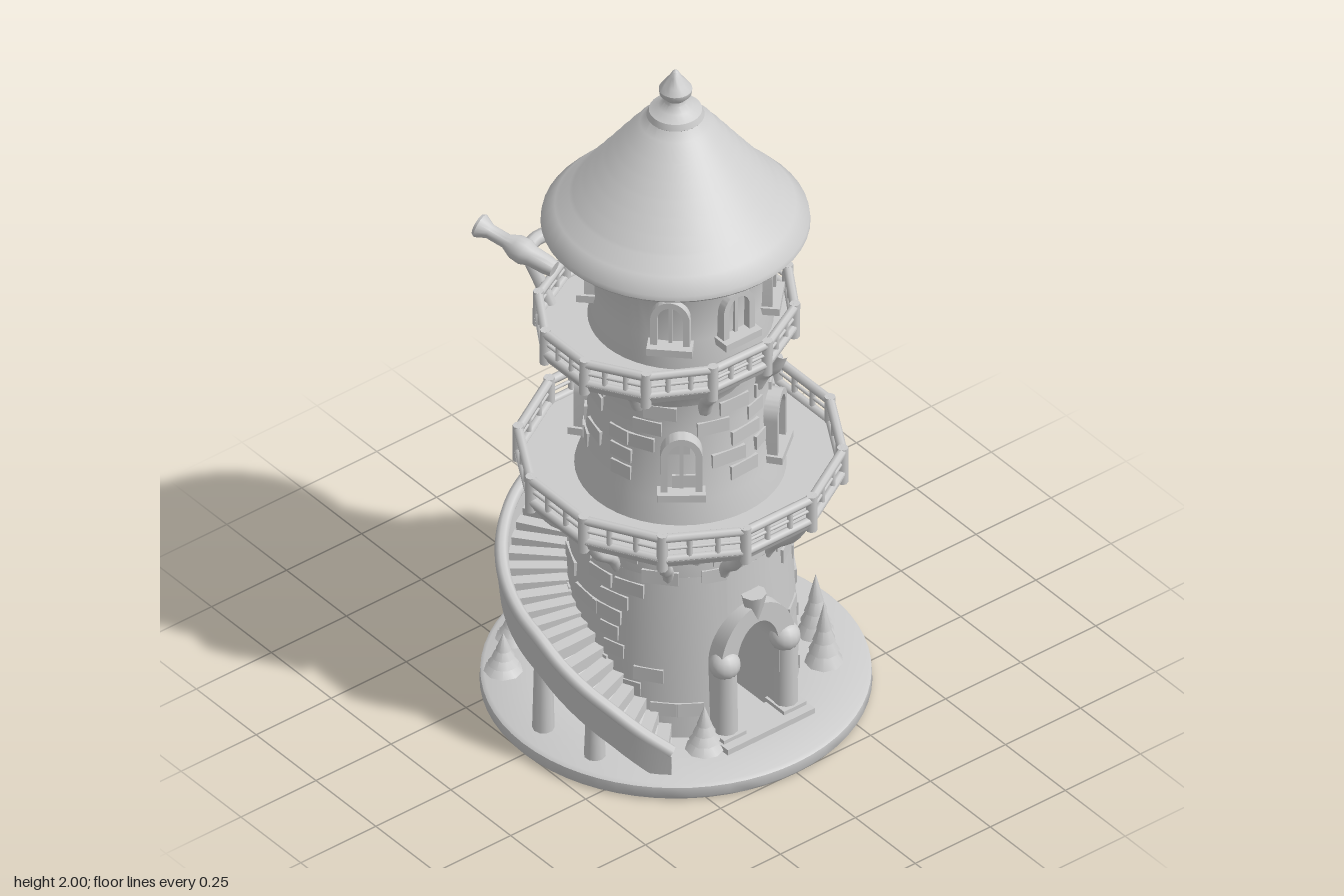
import * as THREE from 'three';
import { toCreasedNormals } from 'three/addons/utils/BufferGeometryUtils.js';

const mat = new THREE.MeshStandardMaterial({ color: 0xcccccc });
const matBoth = new THREE.MeshStandardMaterial({ color: 0xcccccc, side: THREE.DoubleSide });
const V = (x, y, z) => new THREE.Vector3(x, y, z);

function add(parent, name, geo, material = mat) {
  const m = new THREE.Mesh(geo, material);
  m.name = name;
  parent.add(m);
  return m;
}
function group(parent, name) {
  const g = new THREE.Group();
  g.name = name;
  parent.add(g);
  return g;
}
// Put an object on a circle, turned outward; angle 0 is the front (+z)
function place(o, a, r, y) {
  o.position.set(r * Math.sin(a), y, r * Math.cos(a));
  o.rotation.y = a;
  return o;
}
const lathe = (pts, seg = 48, start = 0, len = Math.PI * 2) =>
  toCreasedNormals(new THREE.LatheGeometry(pts.map(p => new THREE.Vector2(...p)), seg, start, len), 0.7);
const tube = (pts, r, seg = 8) => new THREE.TubeGeometry(new THREE.CatmullRomCurve3(pts), seg, r, 8);
function lerpTable(t, k) {
  for (let i = 1; i < t.length; i++)
    if (k <= t[i][0]) return THREE.MathUtils.mapLinear(Math.max(k, t[0][0]), t[i - 1][0], t[i][0], t[i - 1][1], t[i][1]);
  return t[t.length - 1][1];
}
let seed = 7;
const rand = () => (seed = (seed * 16807) % 2147483647) / 2147483647;

// Bent bar between two points
function bar(parent, name, a, b, r) {
  const m = add(parent, name, new THREE.CylinderGeometry(r, r, a.distanceTo(b) + r, 8));
  m.position.copy(a).lerp(b, 0.5);
  m.quaternion.setFromUnitVectors(V(0, 1, 0), b.clone().sub(a).normalize());
}
// Arched surround, open at the bottom
function archFrame(w, inner, spring, rise, depth) {
  const t = w - inner, s = new THREE.Shape();
  s.moveTo(-w, 0);
  s.lineTo(-inner, 0);
  s.lineTo(-inner, spring);
  s.absellipse(0, spring, inner, rise, Math.PI, 0, true);
  s.lineTo(inner, 0);
  s.lineTo(w, 0);
  s.lineTo(w, spring);
  s.absellipse(0, spring, w, rise + t, 0, Math.PI, false);
  const g = new THREE.ExtrudeGeometry(s, { depth, bevelEnabled: false, curveSegments: 14 });
  return toCreasedNormals(g, 0.6);
}

// Tower wall: height, radius
const WALL = [[.04, .31], [.3, .3], [.55, .287], [.69, .285], [.78, .256], [1, .236], [1.09, .234], [1.17, .25], [1.28, .225], [1.42, .23], [1.52, .265]];
const DOOR = { a: .245, spring: .27, rise: .11, top: .55 };

function buildWall(tower) {
  const profile = WALL.map(([y, r]) => [r, y]);
  // Lower wall is split in two to leave the passage open
  for (const side of [0, Math.PI])
    add(tower, 'lowerWall', lathe(profile.slice(0, 3), 24, side + DOOR.a, Math.PI - 2 * DOOR.a), matBoth);
  add(tower, 'upperWall', lathe(profile.slice(2)), matBoth);
  for (const turn of [0, Math.PI]) {
    // Wall above each door
    const g = new THREE.PlaneGeometry(1, 1, 20, 6), p = g.attributes.position;
    for (let i = 0; i < p.count; i++) {
      const s = Math.sin(p.getX(i) * Math.PI), low = DOOR.spring + DOOR.rise * Math.sqrt(Math.max(0, 1 - s * s));
      const y = THREE.MathUtils.lerp(low, DOOR.top, p.getY(i) + .5), r = lerpTable(WALL, y);
      p.setXYZ(i, r * Math.sin(s * DOOR.a), y, r * Math.cos(s * DOOR.a));
    }
    g.computeVertexNormals();
    add(tower, 'doorLintel', g, matBoth).rotation.y = turn;
    // Door surround with columns, capitals and keystone
    const door = group(tower, 'doorway');
    door.rotation.y = turn;
    add(door, 'doorArch', archFrame(.125, .07, DOOR.spring - .04, DOOR.rise, .08)).position.set(0, .04, .245);
    for (const x of [-.1, .1]) {
      add(door, 'doorColumn', new THREE.CylinderGeometry(.03, .034, .24, 10)).position.set(x, .16, .315);
      add(door, 'doorCapital', new THREE.SphereGeometry(.042, 14, 10)).position.set(x, .28, .31);
      add(door, 'columnFoot', new THREE.BoxGeometry(.075, .035, .08)).position.set(x, .055, .315);
    }
    add(door, 'keystone', new THREE.CylinderGeometry(.035, .02, .08, 8)).position.set(0, .425, .305);
    add(door, 'doorStep', new THREE.BoxGeometry(.29, .022, .1)).position.set(0, .05, .33);
  }
  add(tower, 'passage', archFrame(.078, .07, DOOR.spring - .04, DOOR.rise, .56)).position.set(0, .04, -.28);
  // Raised stones
  const stones = group(tower, 'stones');
  for (const [y0, y1] of [[.08, .62], [.84, 1.08]])
    for (let y = y0; y < y1; y += .052)
      for (let k = 0; k < 9; k++) {
        const a = (k + rand()) * Math.PI * 2 / 9, w = .06 + .04 * rand();
        if (y < .5 && Math.abs(Math.sin(a)) < .55) continue;
        const b = add(stones, 'stone', new THREE.BoxGeometry(w, .042, .014));
        place(b, a, lerpTable(WALL, y) - .004, y);
      }
}

function addWindow(tower, deg, y, w, spring, depth) {
  const a = deg * Math.PI / 180, r = lerpTable(WALL, y + .06);
  const win = place(group(tower, 'window'), a, r, y);
  add(win, 'windowFrame', archFrame(w, w - .018, spring, w - .01, depth)).position.z = -.025;
  add(win, 'windowSill', new THREE.BoxGeometry(w * 2.3, .022, .06)).position.z = .01;
  add(win, 'windowBar', new THREE.BoxGeometry(.01, spring + w * .7, .012)).position.set(0, (spring + w * .7) / 2, .002);
}

// Twelve-sided balcony with railing
function balcony(parent, name, R, y, h, thick) {
  const g = group(parent, name), n = 12;
  const deck = add(g, 'deck', toCreasedNormals(new THREE.CylinderGeometry(R, R - .012, thick, n), .3));
  deck.position.y = y + thick / 2;
  deck.rotation.y = Math.PI / n;
  const pt = (i, yy) => V((R - .012) * Math.sin((i + .5) * Math.PI * 2 / n), yy, (R - .012) * Math.cos((i + .5) * Math.PI * 2 / n));
  for (let i = 0; i < n; i++) {
    const top = y + h - .012, low = y + thick;
    bar(g, 'topRail', pt(i, top), pt(i + 1, top), .013);
    bar(g, 'lowerRail', pt(i, low), pt(i + 1, low), .012);
    bar(g, 'midRail', pt(i, (top + low) / 2), pt(i + 1, (top + low) / 2), .005);
    bar(g, 'railPost', pt(i, y), pt(i, top + .005), .015);
    for (const t of [.33, .67])
      bar(g, 'baluster', pt(i, low).lerp(pt(i + 1, low), t), pt(i, top).lerp(pt(i + 1, top), t), .008);
  }
  return g;
}

// Ring of curved brackets; points are [radius, height]
function brackets(parent, name, n, pts, r, offset = 0) {
  for (let i = 0; i < n; i++)
    add(parent, name, tube(pts.map(p => V(0, p[1], p[0])), r)).rotation.y = (i + offset) * Math.PI * 2 / n;
}

// Stair winding from the front, round the right side, to the back
const RISE = [[40, .04], [60, .15], [90, .28], [121, .34], [150, .4], [180, .44], [216, .45]];
function buildStair(root) {
  const stair = group(root, 'stair'), pos = [], idx = [], n = 44;
  const section = [[.435, 0], [.26, 0], [.26, -.11], [.46, -.035], [.47, .07], [.44, .075]], m = section.length;
  for (let i = 0; i <= n; i++) {
    const deg = 40 + 176 * i / n, t = deg * Math.PI / 180, h = lerpTable(RISE, deg);
    const narrow = deg > 185 ? (deg - 185) / 31 * .12 : 0;
    for (const [r, y] of section) {
      const rr = r - narrow * (r - .26) / .2;
      pos.push(-rr * Math.sin(t), Math.max(.03, h + y), rr * Math.cos(t));
    }
    if (i < n) for (let j = 0; j < m; j++) {
      const a = i * m + j, b = i * m + (j + 1) % m;
      idx.push(a, b, a + m, b, b + m, a + m);
    }
  }
  for (let j = 1; j < m - 1; j++) idx.push(0, j + 1, j, n * m, n * m + j, n * m + j + 1);
  const g = new THREE.BufferGeometry();
  g.setAttribute('position', new THREE.Float32BufferAttribute(pos, 3));
  g.setIndex(idx);
  add(stair, 'stairRamp', toCreasedNormals(g, .6));
  for (let deg = 44; deg < 200; deg += 6.5) {
    const depth = deg > 180 ? .12 : .17;
    const tread = add(stair, 'tread', new THREE.BoxGeometry(.034, .035, depth));
    place(tread, -deg * Math.PI / 180, .27 + depth / 2, lerpTable(RISE, deg) + .008);
  }
  // Rounded hand rail and supporting posts
  const rail = [];
  for (let deg = 40; deg <= 190; deg += 10) {
    const t = deg * Math.PI / 180;
    rail.push(V(-.455 * Math.sin(t), lerpTable(RISE, deg) + .075, .455 * Math.cos(t)));
  }
  add(stair, 'handRail', tube(rail, .018, 50));
  for (const deg of [68, 92, 150]) {
    const h = lerpTable(RISE, deg) - .03;
    place(add(stair, 'stairPost', new THREE.CylinderGeometry(.024, .03, h, 10)), -deg * Math.PI / 180, .43, h / 2 + .02);
  }
}

function buildTree(root, x, z, h) {
  const tree = group(root, 'tree');
  tree.position.set(x, .035, z);
  add(tree, 'trunk', new THREE.CylinderGeometry(.014, .018, .05, 8)).position.y = .02;
  for (let i = 0; i < 4; i++) {
    const c = add(tree, 'branches', new THREE.ConeGeometry(.052 - i * .0105, h * .4, 9));
    c.position.y = h * (.3 + i * .167);
    c.rotation.y = i;
  }
}

function buildTelescope(root) {
  const g = group(root, 'telescope'), a = V(-.23, 1.33, -.22), b = V(-.31, 1.385, -.43);
  const tubeMesh = add(g, 'telescopeTube', lathe([[0, 0], [.022, 0], [.026, .02], [.028, .07], [.036, .09], [.034, .12], [.02, .15], [.02, .2], [.034, .23], [.03, .238], [0, .225]], 16));
  tubeMesh.position.copy(a);
  tubeMesh.quaternion.setFromUnitVectors(V(0, 1, 0), b.clone().sub(a).normalize());
  add(g, 'telescopeArm', tube([V(-.26, 1.33, -.31), V(-.2, 1.34, -.34), V(-.12, 1.34, -.335)], .02));
  add(g, 'telescopeStand', tube([V(-.26, 1.35, -.3), V(-.24, 1.27, -.27), V(-.22, 1.18, -.24)], .018));
}

export function createModel() {
  const root = new THREE.Group();
  root.name = 'tower';
  add(root, 'ground', lathe([[0, 0], [.505, 0], [.512, .01], [.51, .038], [.5, .045], [.33, .043], [0, .04]], 64));

  const tower = group(root, 'towerBody');
  tower.position.x = .015;
  buildWall(tower);
  for (const d of [38, -38, 142, -142]) addWindow(tower, d, .81, .055, .12, .05);
  for (const d of [0, 45, -45, 135, -135, 180]) addWindow(tower, d, 1.27, .052, .09, .045);

  // Balconies and their supports
  balcony(tower, 'lowerBalcony', .437, .69, .105, .025);
  brackets(tower, 'balconyStrut', 12, [[.27, .53], [.3, .58], [.36, .63], [.4, .69]], .017, .5);
  brackets(tower, 'balconyCorbel', 12, [[.275, .6], [.29, .64], [.31, .69]], .02);
  const upper = balcony(root, 'upperBalcony', .362, 1.175, .1, .025);
  upper.position.x = -.05;
  upper.scale.z = .91;
  upper.rotation.z = -.015;
  add(root, 'upperFlare', lathe([[.23, 1.08], [.245, 1.12], [.275, 1.155], [.31, 1.18]])).position.x = -.01;
  brackets(tower, 'upperCorbel', 8, [[.225, 1.05], [.25, 1.1], [.28, 1.13], [.3, 1.18]], .02, .5);

  // Roof with overlapping courses and finial
  const roof = group(root, 'roof');
  roof.position.set(.005, 0, -.008);
  const outline = [[1.525, .345], [1.6, .272], [1.7, .195], [1.78, .135], [1.86, .072]];
  const pts = [[0, 1.51], [.26, 1.51], [.345, 1.5], [.352, 1.508], [.35, 1.522]];
  for (let i = 0; i < 8; i++) {
    const y = 1.56 + i * .038, r = lerpTable(outline, y);
    pts.push([r + .004, y], [r - .006, y + .004]);
  }
  add(roof, 'roofCone', lathe([...pts, [.07, 1.86], [0, 1.87]]));
  add(roof, 'finial', lathe([[0, 1.83], [.06, 1.835], [.076, 1.855], [.07, 1.872], [.045, 1.885], [.03, 1.9], [.028, 1.91], [.042, 1.925], [.044, 1.94], [.032, 1.958], [.016, 1.98], [.008, 1.995], [0, 2]], 24));
  brackets(tower, 'eavesBracket', 8, [[.215, 1.41], [.235, 1.45], [.255, 1.48], [.295, 1.515]], .02);

  buildStair(root);
  buildTelescope(root);
  for (const [x, z, h] of [[.31, .23, .21], [.37, .12, .21], [.25, -.35, .17], [.375, -.25, .14], [-.16, .32, .15], [-.36, -.27, .13], [-.25, -.36, .12]])
    buildTree(root, x, z, h);
  return root;
}
